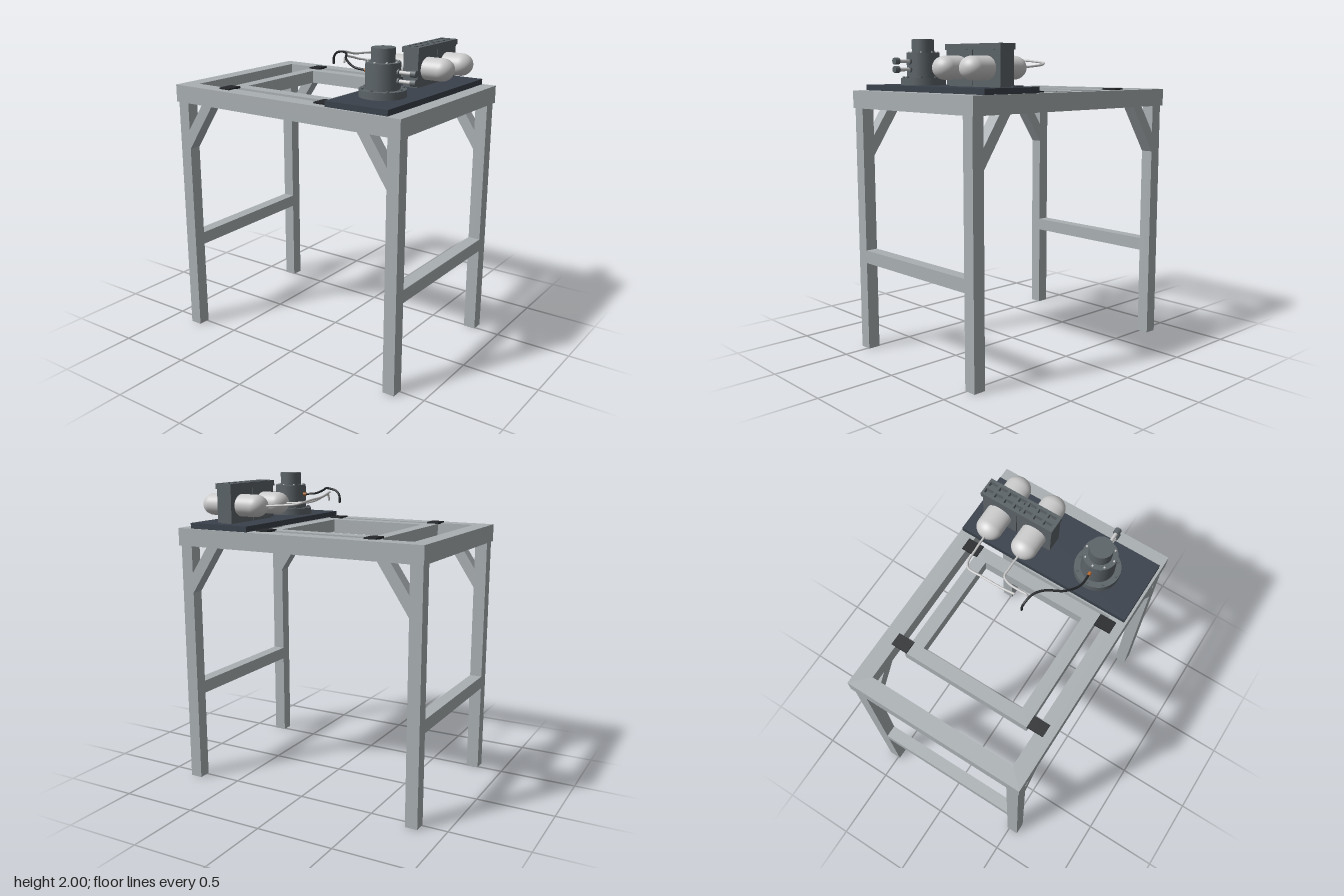
import * as THREE from 'three';

const mat = (color, extra = {}) => new THREE.MeshStandardMaterial({ color, ...extra });
const steel = mat(0xaab0b3);
const dark = mat(0x3a414b);
const motorGrey = mat(0x5c6468);
const black = mat(0x25272a);
const grey = mat(0xcccccc);
const copper = mat(0xb8692c);

function add(parent, name, geometry, material, x = 0, y = 0, z = 0) {
  const mesh = new THREE.Mesh(geometry, material);
  mesh.name = name;
  mesh.position.set(x, y, z);
  parent.add(mesh);
  return mesh;
}

// Box given by its minimum and maximum corners
function box(parent, name, material, [x0, y0, z0], [x1, y1, z1]) {
  return add(parent, name, new THREE.BoxGeometry(x1 - x0, y1 - y0, z1 - z0), material,
    (x0 + x1) / 2, (y0 + y1) / 2, (z0 + z1) / 2);
}

function rect(path, x0, x1, y0, y1) {
  path.moveTo(x0, y0);
  path.lineTo(x1, y0);
  path.lineTo(x1, y1);
  path.lineTo(x0, y1);
  path.closePath();
  return path;
}

// Horizontal plate with rectangular holes, each rectangle as [x0, x1, z0, z1]
function piercedPlate(parent, name, material, outer, holes, y0, y1) {
  const flip = ([x0, x1, z0, z1]) => [x0, x1, -z1, -z0];
  const shape = rect(new THREE.Shape(), ...flip(outer));
  for (const h of holes) shape.holes.push(rect(new THREE.Path(), ...flip(h)));
  const g = new THREE.ExtrudeGeometry(shape, { depth: y1 - y0, bevelEnabled: false });
  g.rotateX(-Math.PI / 2);
  return add(parent, name, g, material, 0, y0, 0);
}

function cylinder(parent, name, material, r, y0, y1, x = 0, z = 0, sides = 40) {
  return add(parent, name, new THREE.CylinderGeometry(r, r, y1 - y0, sides), material, x, (y0 + y1) / 2, z);
}

function rod(parent, name, material, r, x0, x1, y, z) {
  const g = new THREE.CylinderGeometry(r, r, x1 - x0, 20).rotateZ(Math.PI / 2);
  return add(parent, name, g, material, (x0 + x1) / 2, y, z);
}

function hose(parent, name, material, r, points) {
  const curve = new THREE.CatmullRomCurve3(points.map(p => new THREE.Vector3(...p)), false, 'centripetal');
  add(parent, name, new THREE.TubeGeometry(curve, 60, r, 10), material);
  // Rounded ends
  for (const p of [points[0], points.at(-1)]) add(parent, name + 'End', new THREE.SphereGeometry(r, 10, 8), material, ...p);
}

function buildTable(root) {
  const table = new THREE.Group();
  table.name = 'table';
  root.add(table);

  piercedPlate(table, 'topFrame', steel, [-0.843, 0.84, -0.582, 0.578], [[-0.738, 0.735, -0.48, 0.472]], 1.572, 1.683);
  piercedPlate(table, 'innerFrame', steel, [-0.515, 0.3, -0.415, 0.419], [[-0.435, 0.22, -0.335, 0.338]], 1.6, 1.683);

  for (const sx of [-1, 1]) {
    const x0 = sx < 0 ? -0.834 : 0.752;
    for (const sz of [-1, 1]) {
      const z0 = sz < 0 ? -0.567 : 0.487;
      box(table, 'leg', steel, [x0, 0, z0], [x0 + 0.08, 1.572, z0 + 0.08]);

      // Diagonal brace between leg and top frame
      const s = new THREE.Shape([[0.754, 1.395], [0.754, 1.267], [0.55, 1.572], [0.634, 1.572]]
        .map(([x, y]) => new THREE.Vector2(sx * x, y)));
      add(table, 'cornerBrace', new THREE.ExtrudeGeometry(s, { depth: 0.08, bevelEnabled: false }), steel, 0, 0, z0);
    }
    box(table, 'sideRail', steel, [x0, 0.577, -0.487], [x0 + 0.08, 0.66, 0.487]);
  }

  // Pads joining the inner frame to the top frame
  for (const x of [-0.515, 0.22])
    for (const z of [-0.505, 0.42]) box(table, 'joiningPad', black, [x, 1.68, z], [x + 0.08, 1.692, z + 0.105]);
}

function buildPump(root) {
  const pump = new THREE.Group();
  pump.name = 'pump';
  pump.position.set(0.523, 0, 0.26);
  root.add(pump);

  cylinder(pump, 'pumpFlange', motorGrey, 0.14, 1.715, 1.762);
  cylinder(pump, 'pumpBody', motorGrey, 0.103, 1.762, 1.918);
  cylinder(pump, 'pumpCap', motorGrey, 0.07, 1.918, 2);
  for (let i = 0; i < 8; i++) {
    const a = i * Math.PI / 4, c = Math.cos(a), s = Math.sin(a);
    cylinder(pump, 'flangeBolt', motorGrey, 0.009, 1.762, 1.771, 0.123 * c, 0.123 * s, 6);
    cylinder(pump, 'bodyBolt', grey, 0.006, 1.918, 1.925, 0.09 * c, 0.09 * s, 6);
  }

  // Two outlet fittings on the side
  for (const y of [1.815, 1.866]) {
    rod(pump, 'outletCollar', motorGrey, 0.02, 0.095, 0.112, y, 0);
    rod(pump, 'outletPipe', grey, 0.011, 0.09, 0.2, y, 0);
    rod(pump, 'outletHead', motorGrey, 0.02, 0.188, 0.222, y, 0);
  }
  rod(pump, 'hoseConnector', copper, 0.01, -0.125, -0.095, 1.856, 0);
}

function buildTanks(root) {
  const unit = new THREE.Group();
  unit.name = 'tankUnit';
  root.add(unit);

  // Capsule tanks with domed ends, slightly flattened in height
  const profile = [], steps = 10, dome = 0.072, half = 0.23, r = 0.081;
  for (const end of [-1, 1])
    for (let i = 0; i <= steps; i++) {
      const a = (end < 0 ? steps - i : i) / steps * Math.PI / 2;
      profile.push(new THREE.Vector2(r * Math.cos(a), end * (half - dome + dome * Math.sin(a))));
    }
  const tank = new THREE.LatheGeometry(profile, 40).rotateZ(-Math.PI / 2).scale(1, 0.86, 1);
  for (const z of [-0.155, -0.398]) add(unit, 'tank', tank, grey, 0.525, 1.827, z);

  // Twin clamp blocks and their pocketed cover
  box(unit, 'clampBlock', motorGrey, [0.475, 1.725, -0.274], [0.578, 1.932, -0.042]);
  box(unit, 'clampBlock', motorGrey, [0.475, 1.725, -0.514], [0.578, 1.932, -0.28]);
  box(unit, 'clampFoot', motorGrey, [0.485, 1.712, -0.5], [0.568, 1.73, -0.055]);
  const holes = [];
  for (let i = 0; i < 7; i++)
    for (const x of [0.486, 0.536]) {
      const z = -0.51 + i * 0.067;
      holes.push([x, x + 0.03, z, z + 0.05]);
    }
  piercedPlate(unit, 'clampCover', motorGrey, [0.468, 0.584, -0.522, -0.036], holes, 1.93, 1.965);
}

export function createModel() {
  const root = new THREE.Group();
  root.name = 'workTable';

  buildTable(root);
  box(root, 'mountingPlate', dark, [0.327, 1.683, -0.572], [0.748, 1.718, 0.562]);
  buildPump(root);
  buildTanks(root);

  // Loose hoses from the tanks and the pump
  hose(root, 'tankHose', grey, 0.007, [[0.31, 1.827, -0.392], [0.2, 1.835, -0.385], [0.1, 1.845, -0.374],
    [0.065, 1.855, -0.345], [0.06, 1.865, -0.25], [0.056, 1.875, -0.13], [0.054, 1.9, -0.027]]);
  hose(root, 'tankHose', grey, 0.007, [[0.31, 1.827, -0.155], [0.2, 1.835, -0.153], [0.14, 1.84, -0.148],
    [0.112, 1.85, -0.1], [0.1, 1.87, -0.03], [0.097, 1.878, 0.03], [0.097, 1.845, 0.042]]);
  hose(root, 'pumpHose', black, 0.007, [[0.405, 1.856, 0.26], [0.32, 1.865, 0.257], [0.227, 1.895, 0.205],
    [0.16, 1.912, 0.11], [0.106, 1.914, 0.068], [0.045, 1.9, 0.052], [0.022, 1.87, 0.047], [0.02, 1.832, 0.046]]);
  return root;
}
